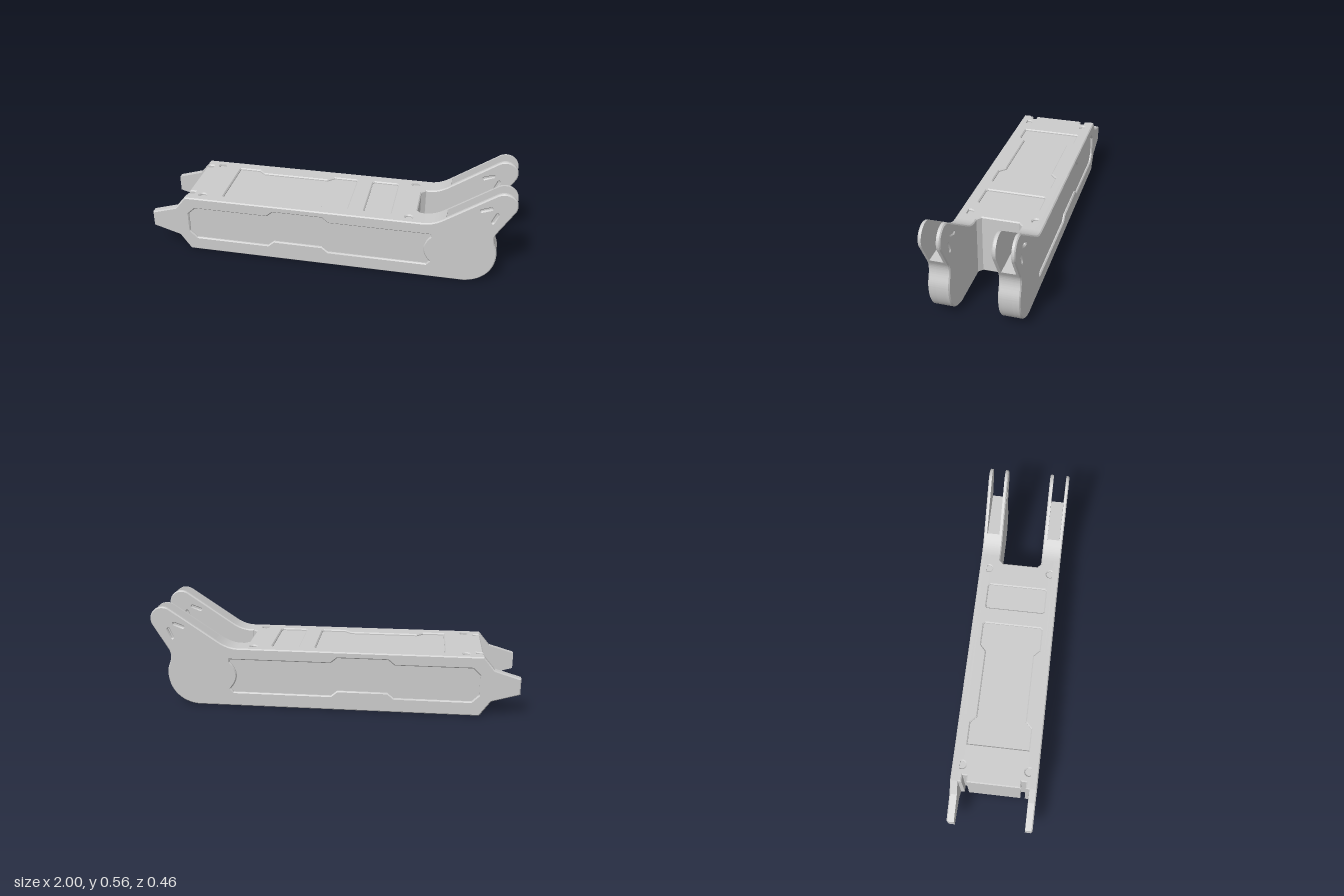
import * as THREE from 'three';
import { toCreasedNormals } from 'three/addons/utils/BufferGeometryUtils.js';

const material = new THREE.MeshStandardMaterial({ color: 0xcccccc });
const BEVEL = 0.006, TOP = 0.335, RECESS = 0.012;

const polygon = (points) => new THREE.Shape(points.map(([x, y]) => new THREE.Vector2(x, y)));

// Mirrors a half outline (listed along +y) to the -y side
const mirrored = (half) => polygon([...half, ...half.slice().reverse().map(([x, y]) => [x, -y])]);

function circle(x, y, r) {
  const s = new THREE.Shape();
  s.absarc(x, y, r, 0, Math.PI * 2, false);
  return s;
}

// Round-ended slot centred on x, y
function slot(x, y, length, width, degrees) {
  const a = THREE.MathUtils.degToRad(degrees), r = width / 2, h = length / 2 - r;
  const dx = Math.cos(a) * h, dy = Math.sin(a) * h;
  const s = new THREE.Shape();
  s.absarc(x + dx, y + dy, r, a - Math.PI / 2, a + Math.PI / 2, false);
  s.absarc(x - dx, y - dy, r, a + Math.PI / 2, a + Math.PI * 1.5, false);
  return s;
}

// Extrudes a shape between two depths, with optional chamfer and holes
function slab(name, shape, from, to, bevel = 0, holes = []) {
  const s = shape.clone();
  s.holes = holes;
  const geometry = new THREE.ExtrudeGeometry(s, {
    depth: to - from - 2 * bevel, curveSegments: 20, bevelEnabled: bevel > 0,
    bevelThickness: bevel, bevelSize: bevel, bevelOffset: -bevel, bevelSegments: 1,
  });
  geometry.translate(0, 0, from + bevel);
  const mesh = new THREE.Mesh(toCreasedNormals(geometry, 0.5), material);
  mesh.name = name;
  return mesh;
}

// Side outline: the front tongue is optional (starts at startX otherwise),
// and the raised ear can be cut down to the floor of its slot
function sideProfile({ tongue = true, ear = true, startX = 0.505 } = {}) {
  const s = new THREE.Shape();
  s.moveTo(tongue ? -0.79 : startX, 0);
  s.lineTo(0.76, 0);
  s.bezierCurveTo(0.86, 0.01, 0.922, 0.08, 0.922, 0.18);
  s.bezierCurveTo(0.922, 0.225, 0.9, 0.24, 0.9, 0.28);
  s.quadraticCurveTo(0.9, 0.3, 0.91, 0.318);
  if (ear) {
    s.absarc(0.93, 0.487, 0.07, -Math.PI / 6, THREE.MathUtils.degToRad(124), false);
  } else {
    s.lineTo(0.923, 0.34);
    s.lineTo(0.645, 0.34);
    s.lineTo(0.645, 0.38);
  }
  s.lineTo(0.63, 0.37);
  s.quadraticCurveTo(0.58, 0.337, 0.53, TOP);
  if (tongue) {
    [[-0.8, TOP], [-0.86, 0.262], [-1, 0.22], [-1, 0.13], [-0.85, 0.085]]
      .forEach(([x, y]) => s.lineTo(x, y));
  } else {
    s.lineTo(startX, TOP);
  }
  s.closePath();
  return s;
}

// Stepped side recess with a concave rear end
function sideRecess() {
  const s = new THREE.Shape();
  s.moveTo(-0.785, 0.12);
  [[-0.745, 0.08], [-0.33, 0.08], [-0.295, 0.11], [-0.02, 0.11], [0.015, 0.08], [0.555, 0.08], [0.572, 0.1]]
    .forEach(([x, y]) => s.lineTo(x, y));
  s.quadraticCurveTo(0.5, 0.178, 0.572, 0.256);
  [[0.572, 0.27], [0.015, 0.27], [-0.02, 0.3], [-0.295, 0.3], [-0.33, 0.27], [-0.745, 0.27], [-0.785, 0.232]]
    .forEach(([x, y]) => s.lineTo(x, y));
  s.closePath();
  return s;
}

export function createModel() {
  const model = new THREE.Group();
  model.name = 'forkedArm';

  const earSlots = () => [slot(0.845, 0.457, 0.06, 0.01, 20), slot(0.893, 0.41, 0.06, 0.01, 68)];
  const full = sideProfile();
  const lowered = sideProfile({ ear: false });
  const armFull = sideProfile({ tongue: false });
  const armLowered = sideProfile({ tongue: false, ear: false });

  // Side walls and fork arms, one set for each side
  for (const side of [1, -1]) {
    const half = new THREE.Group();
    half.name = side > 0 ? 'frontSide' : 'backSide';
    const layer = (name, shape, a, b, bevel, holes) =>
      half.add(slab(name, shape, side > 0 ? a : -b, side > 0 ? b : -a, bevel, holes));
    layer('outerPlate', full, 0.212, 0.23, BEVEL, [sideRecess(), ...earSlots()]);
    layer('outerPlateBacking', full, 0.212, 0.218);
    layer('sideWall', lowered, 0.19, 0.212);
    layer('forkArmCore', armLowered, 0.138, 0.192);
    layer('innerEarPlate', armFull, 0.12, 0.14, BEVEL, earSlots());
    layer('innerEarBacking', armFull, 0.126, 0.14);
    model.add(half);
  }

  // Central body in plan: end grooves on the left, open fork on the right
  const plan = mirrored([
    [0.484, 0.1], [0.512, 0.126], [0.56, 0.126], [0.56, 0.2175], [-0.8, 0.2175],
    [-0.8, 0.17], [-0.765, 0.17], [-0.765, 0.145], [-0.8, 0.145],
  ]);
  const topHoles = [
    mirrored([[-0.595, 0.165], [-0.477, 0.165], [-0.442, 0.132], [-0.063, 0.132], [-0.027, 0.165], [0.098, 0.165], [0.106, 0.157]]),
    mirrored([[0.2, 0.157], [0.208, 0.165], [0.337, 0.165], [0.345, 0.157]]),
  ];
  for (const x of [-0.71, 0.445]) for (const z of [-0.178, 0.178]) topHoles.push(circle(x, z, 0.02));
  const bottomHoles = [1, -1].map((s) => slot(0.405, s * 0.09, 0.075, 0.012, s * 15));

  const body = new THREE.Group();
  body.name = 'centralBody';
  body.add(
    slab('bodyBlock', plan, RECESS, TOP - RECESS),
    slab('topCover', plan, TOP - 0.018, TOP, BEVEL, topHoles),
    slab('bottomCover', plan, 0, 0.018, BEVEL, bottomHoles),
  );
  body.rotation.x = -Math.PI / 2;
  model.add(body);

  return model;
}
